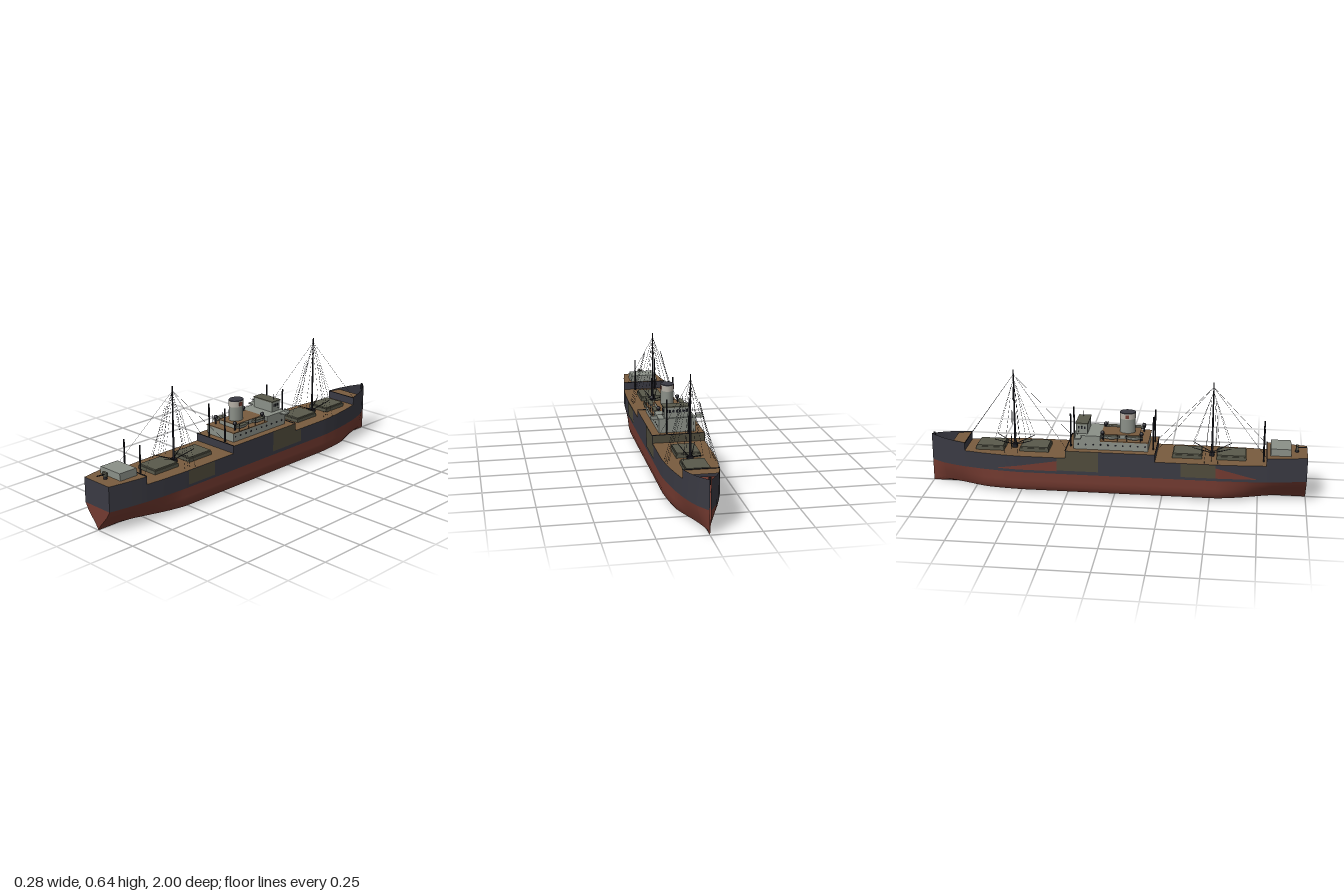
import * as THREE from 'three';
import { toCreasedNormals } from 'three/addons/utils/BufferGeometryUtils.js';

const V = (x, y, z) => new THREE.Vector3(x, y, z);

// half width of the hull along z, as [z, halfWidth]
const BEAM = [[-1, 0.003], [-0.97, 0.022], [-0.93, 0.046], [-0.87, 0.07], [-0.8, 0.09], [-0.7, 0.111],
  [-0.6, 0.126], [-0.5, 0.135], [0.55, 0.136], [0.7, 0.13], [0.8, 0.121], [0.9, 0.107], [1, 0.09]];
// hull width fractions by height: full midship section and fine end section
const FULL = [[0, 0], [0.015, 0.86], [0.03, 0.95], [0.06, 1], [0.3, 1]];
const FINE = [[0, 0], [0.015, 0.1], [0.03, 0.22], [0.06, 0.52], [0.09, 0.8], [0.12, 1], [0.3, 1]];
const LOW = [0, 0.015, 0.03, 0.045, 0.06, 0.075, 0.09, 0.105, 0.12];

function interp(table, t) {
  for (let i = 1; i < table.length; i++) {
    const [a, u] = table[i - 1], [b, v] = table[i];
    if (t <= b) return u + (v - u) * Math.max(0, (t - a) / (b - a));
  }
  return table[table.length - 1][1];
}
const beam = z => interp(BEAM, z);
function hullX(z, y) {
  const k = z > 0 ? THREE.MathUtils.smoothstep(z, 0.5, 1) : 0.8 * THREE.MathUtils.smoothstep(-z, 0.65, 1);
  return beam(z) * THREE.MathUtils.lerp(interp(FULL, y), interp(FINE, y), k);
}
function stations(a, b) {
  const inner = BEAM.map(p => p[0]).filter(z => z > a && z < b);
  for (let z = -0.975; z < 1; z += 0.05) if (z > a && z < b) inner.push(z);
  return [a, ...inner.sort((p, q) => p - q), b];
}

export function createModel() {
  const ship = new THREE.Group();
  ship.name = 'cargoShip';
  const paint = (name, color, side = THREE.FrontSide) => {
    const m = new THREE.MeshStandardMaterial({ color, side });
    m.name = name;
    return m;
  };
  const slate = paint('slate hull', 0x3a3a43, THREE.DoubleSide);
  const red = paint('red lead', 0x733a30, THREE.DoubleSide);
  const olive = paint('olive camouflage', 0x504c3c, THREE.DoubleSide);
  const wood = paint('deck brown', 0x785b3e, THREE.DoubleSide);
  const grey = paint('house grey', 0x8b9088);
  const hatchMat = paint('hatch green grey', 0x59594b);
  const black = paint('rigging black', 0x1d1d24);
  const pale = paint('pale band', 0xb5afa5);

  const add = (name, geo, mat, x = 0, y = 0, z = 0) => {
    const m = new THREE.Mesh(geo, mat);
    m.name = name;
    m.position.set(x, y, z);
    ship.add(m);
    return m;
  };
  // box given by its x centre, bottom and top, and z range
  const box = (name, mat, x, w, y0, y1, z0, z1) =>
    add(name, new THREE.BoxGeometry(w, y1 - y0, z1 - z0), mat, x, (y0 + y1) / 2, (z0 + z1) / 2);
  const rod = (name, mat, a, b, r, r2 = r, n = 8) => {
    const d = b.clone().sub(a);
    const m = add(name, new THREE.CylinderGeometry(r2, r, d.length(), n), mat);
    m.position.copy(a).addScaledVector(d, 0.5);
    m.quaternion.setFromUnitVectors(V(0, 1, 0), d.normalize());
    return m;
  };
  // surface through rows of points
  const grid = (name, mat, rows, flip = false) => {
    const n = rows[0].length, idx = [];
    for (let i = 0; i < rows.length - 1; i++) for (let j = 0; j < n - 1; j++) {
      const a = i * n + j, b = a + 1, c = a + n, d = c + 1;
      idx.push(...(flip ? [a, c, b, b, c, d] : [a, b, c, b, d, c]));
    }
    const g = new THREE.BufferGeometry().setFromPoints(rows.flat());
    g.setIndex(idx);
    return add(name, toCreasedNormals(g, 0.5), mat);
  };
  const hullSide = (name, mat, s, z0, z1, heights, out = 0) =>
    grid(name, mat, stations(z0, z1).map(z => heights(z).map(y => V(s * (hullX(z, y) + out), y, z))), s < 0);

  // hull sections: z range and top height
  const bowTop = z => 0.255 + 0.012 * (-0.8 - z) / 0.2;
  const sections = [[-1, -0.8, bowTop], [-0.8, -0.255, () => 0.21], [-0.255, 0.215, () => 0.25],
    [0.215, 0.79, () => 0.21], [0.79, 1, () => 0.25]];
  for (const s of [1, -1]) {
    hullSide('lowerHull', red, s, -1, 1, () => LOW);
    for (const [a, b, top] of sections) hullSide('upperHull', slate, s, a, b, z => [0.12, top(z)]);
    hullSide('aftCamouflage', olive, s, 0.35, 0.53, () => [0.135, 0.208], 0.002);
    hullSide('midCamouflage', olive, s, -0.255, -0.08, () => [0.14, 0.25], 0.002);
    hullSide('foreCamouflage', olive, s, -0.3, -0.255, () => [0.14, 0.208], 0.002);
  }
  // bare red patches on one side only
  hullSide('forePatch', red, -1, -0.62, -0.3, z => [0.135, 0.137 + 0.055 * (z + 0.62) / 0.32], 0.002);
  hullSide('aftPatch', red, -1, 0.53, 0.74, z => [0.135, 0.137 + 0.055 * (0.74 - z) / 0.21], 0.002);

  // transom
  const across = (z, ys, out = 0) => ys.map(y => [V(-hullX(1, y), y, z + out), V(hullX(1, y), y, z + out)]);
  grid('lowerTransom', red, across(1, LOW));
  grid('upperTransom', slate, across(1, [0.12, 0.25]));

  // decks and the bulkheads at each step
  const decks = [[-0.87, -0.8, 0.25], [-0.8, -0.255, 0.21], [-0.255, 0.215, 0.25], [0.215, 0.79, 0.21], [0.79, 1, 0.25]];
  for (const [a, b, y] of decks)
    grid('deck', wood, stations(a, b).map(z => [V(-beam(z), y, z), V(beam(z), y, z)]), true);
  for (const [z, mat] of [[-0.8, slate], [-0.255, olive], [0.215, slate], [0.79, slate]]) {
    const w = beam(z);
    grid('bulkhead', mat, [0.21, 0.25].map(y => [V(-w, y, z), V(w, y, z)]), z === -0.255 || z === 0.79);
    box('deckEdge', black, 0, 2 * w, 0.25, 0.253, z - 0.002, z + 0.002);
  }

  // bow fitting
  rod('bowStaff', black, V(0, 0.24, -0.985), V(0, 0.275, -0.985), 0.006);

  // cargo hatches
  for (const [a, b] of [[-0.745, -0.595], [-0.51, -0.355], [0.3, 0.455], [0.53, 0.685]]) {
    box('hatchCoaming', hatchMat, 0, 0.124, 0.21, 0.228, a, b);
    box('hatchCover', hatchMat, 0, 0.116, 0.228, 0.235, a + 0.005, b - 0.005);
  }

  // masts with booms, shrouds and stays
  for (const [z, top, fore, aft] of [[0.505, 0.61, 0.215, 0.785], [-0.545, 0.64, -0.8, -0.255]]) {
    rod('mast', black, V(0, 0.21, z), V(0, top, z), 0.006, 0.003, 10);
    box('mastTable', black, 0, 0.03, 0.21, 0.23, z - 0.012, z + 0.012);
    for (const s of [1, -1]) {
      for (const d of [1, -1]) {
        rod('boom', black, V(s * 0.005, 0.225, z), V(s * 0.043, 0.265, z + d * 0.1), 0.0025, 0.0018, 6);
        rod('boomTopping', black, V(s * 0.043, 0.265, z + d * 0.1), V(0, top - 0.05, z), 0.0006, 0.0006, 4);
      }
      for (const d of [-0.035, 0, 0.035])
        rod('shroud', black, V(s * 0.12, 0.21, z + d), V(s * 0.045, 0.5, z + d * 0.3), 0.0007, 0.0007, 4);
      rod('mastShroud', black, V(s * 0.105, 0.21, z), V(0, top - 0.02, z), 0.0007, 0.0007, 4);
      for (const e of [fore, aft])
        rod('stay', black, V(s * Math.min(0.1, beam(e)), 0.252, e), V(0, top - 0.025, z), 0.0007, 0.0007, 4);
    }
  }
  // paired king posts
  for (const s of [1, -1]) for (const [z, top] of [[0.2, 0.43], [-0.235, 0.43], [0.775, 0.39]])
    rod('kingPost', black, V(s * 0.058, z > 0.5 ? 0.21 : 0.25, z), V(s * 0.058, top, z), 0.0045, 0.004, 8);

  // midship house
  box('lowerHouse', grey, 0, 0.19, 0.25, 0.297, -0.215, 0.175);
  box('boatDeck', wood, 0, 0.2, 0.297, 0.301, -0.075, 0.178);
  box('bridgeDeck', grey, 0, 0.19, 0.297, 0.325, -0.215, -0.075);
  box('upperHouse', grey, 0, 0.115, 0.301, 0.322, -0.075, 0.125);
  box('upperHouseRoof', wood, 0, 0.12, 0.322, 0.325, -0.075, 0.128);
  box('wheelhouse', grey, 0, 0.13, 0.325, 0.378, -0.205, -0.145);
  box('wheelhouseRoof', hatchMat, 0, 0.138, 0.378, 0.384, -0.208, -0.142);
  box('bridgeWing', grey, 0, 0.27, 0.318, 0.324, -0.205, -0.172);
  rod('signalPole', black, V(0.045, 0.384, -0.18), V(0.045, 0.415, -0.18), 0.0015);
  rod('bridgeYard', black, V(-0.135, 0.342, -0.19), V(0.135, 0.342, -0.19), 0.001, 0.001, 5);
  for (const s of [1, -1]) {
    box('wingScreen', grey, s * 0.118, 0.034, 0.324, 0.34, -0.207, -0.203);
    // portholes and windows as thin discs and plates
    for (let i = 0; i < 10; i++) {
      const port = add('porthole', new THREE.CylinderGeometry(0.005, 0.005, 0.003, 10), black, s * 0.095, 0.277, -0.19 + i * 0.039);
      port.rotation.z = Math.PI / 2;
    }
    for (const z of [-0.19, -0.175, -0.16]) box('sideWindow', black, s * 0.065, 0.003, 0.352, 0.366, z - 0.004, z + 0.004);
    // lifeboats
    for (const z of [-0.02, 0.1]) {
      const boat = add('lifeboat', new THREE.SphereGeometry(1, 14, 8, 0, 2 * Math.PI, Math.PI / 2, Math.PI / 2), grey, s * 0.083, 0.325, z);
      boat.scale.set(0.014, 0.018, 0.05);
      const cover = add('boatCover', new THREE.SphereGeometry(1, 14, 5, 0, 2 * Math.PI, 0, Math.PI / 2), hatchMat, s * 0.083, 0.325, z);
      cover.scale.set(0.013, 0.004, 0.048);
      for (const d of [-0.035, 0.035])
        rod('davit', black, V(s * 0.097, 0.3, z + d), V(s * 0.099, 0.34, z + d), 0.0015, 0.0015, 5);
    }
    // cowl ventilators
    for (const z of [0.14, -0.065]) {
      rod('ventTrunk', black, V(s * 0.07, 0.3, z), V(s * 0.07, 0.335, z), 0.005);
      add('ventCowl', new THREE.SphereGeometry(0.011, 12, 8), black, s * 0.07, 0.338, z);
    }
  }
  for (let i = -3; i <= 3; i++) box('bridgeWindow', black, i * 0.017, 0.01, 0.352, 0.366, -0.2065, -0.204);

  // funnel
  const oval = (name, mat, r, y0, y1) => {
    const m = add(name, new THREE.CylinderGeometry(r, r, y1 - y0, 28), mat, 0, (y0 + y1) / 2, 0.06);
    m.scale.z = 1.2;
  };
  oval('funnel', grey, 0.034, 0.3, 0.4);
  oval('funnelBand', pale, 0.0345, 0.4, 0.43);
  oval('funnelCap', slate, 0.035, 0.43, 0.435);
  for (const s of [1, -1]) box('funnelPanel', red, s * 0.034, 0.004, 0.405, 0.425, 0.05, 0.07);

  // stern deckhouse, narrowing upward
  const house = new THREE.BoxGeometry(0.15, 0.036, 0.105);
  const p = house.attributes.position;
  for (let i = 0; i < p.count; i++) if (p.getY(i) > 0) p.setX(i, p.getX(i) * 0.93);
  add('sternHouse', house, grey, 0, 0.268, 0.862);

  // stern gun
  rod('gunPedestal', black, V(0, 0.25, 0.945), V(0, 0.27, 0.945), 0.01, 0.007, 10);
  box('gunShield', hatchMat, 0, 0.03, 0.263, 0.285, 0.94, 0.952);
  rod('gunBarrel', black, V(0, 0.274, 0.94), V(0, 0.277, 0.995), 0.003);
  return ship;
}
